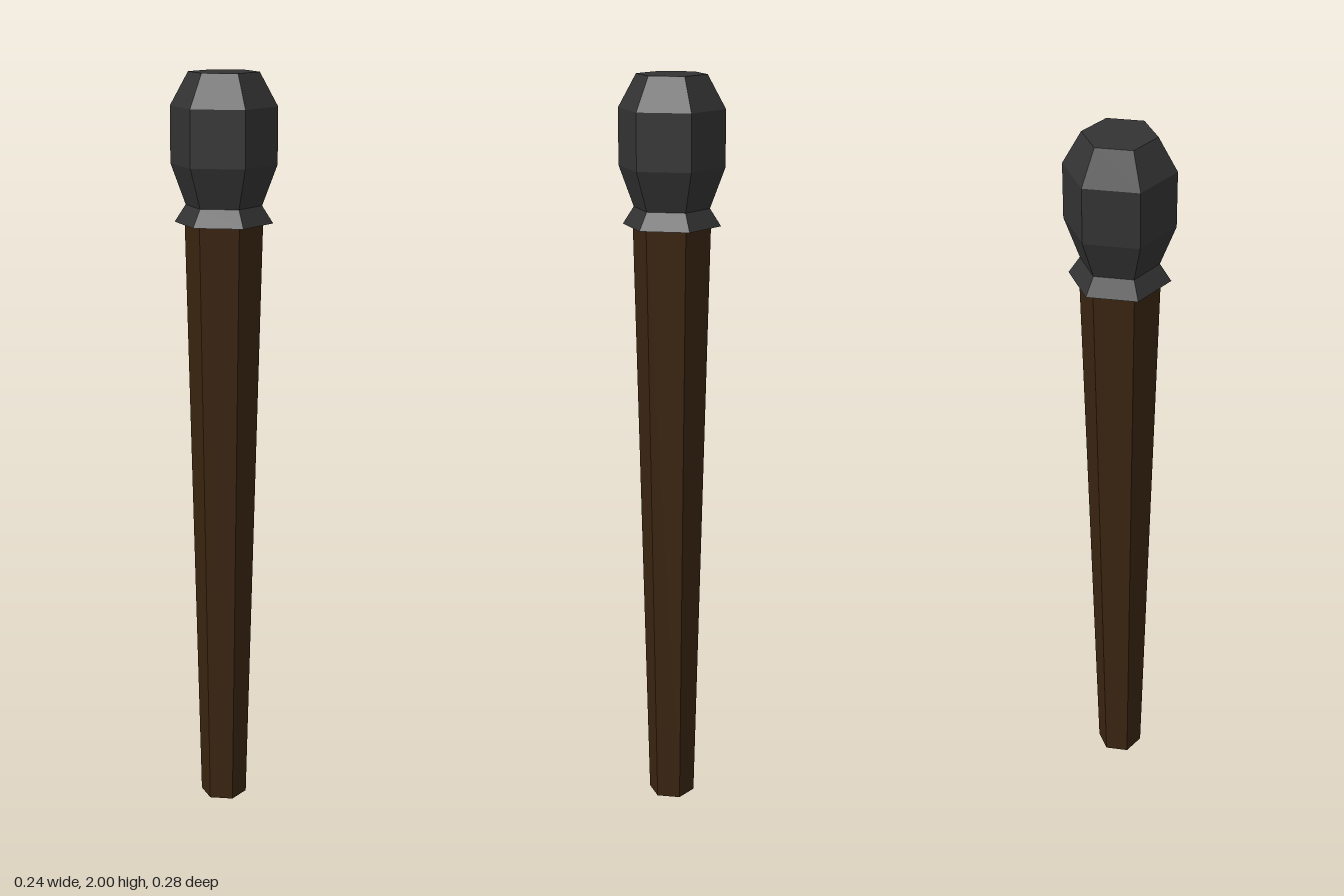
import * as THREE from 'three';

// Six-sided solid of revolution from [radius, height] pairs, listed bottom to top
function hexLathe(name, profile, color) {
  const points = profile.map(([r, y]) => new THREE.Vector2(r, y));
  const material = new THREE.MeshStandardMaterial({ color, flatShading: true });
  const mesh = new THREE.Mesh(new THREE.LatheGeometry(points, 6), material);
  mesh.name = name;
  return mesh;
}

export function createModel() {
  const group = new THREE.Group();
  group.name = 'clubWithMetalHead';

  // Tapered wooden handle, running up into the collar
  group.add(hexLathe('handle', [[0, 0], [0.063, 0], [0.102, 1.622], [0, 1.622]], 0x3a2410));

  // Faceted head with a flared collar at its base
  group.add(hexLathe('head', [
    [0, 1.62], [0.128, 1.62], [0.099, 1.665],
    [0.138, 1.77], [0.138, 1.915], [0.091, 2], [0, 2],
  ], 0x333333));

  return group;
}
